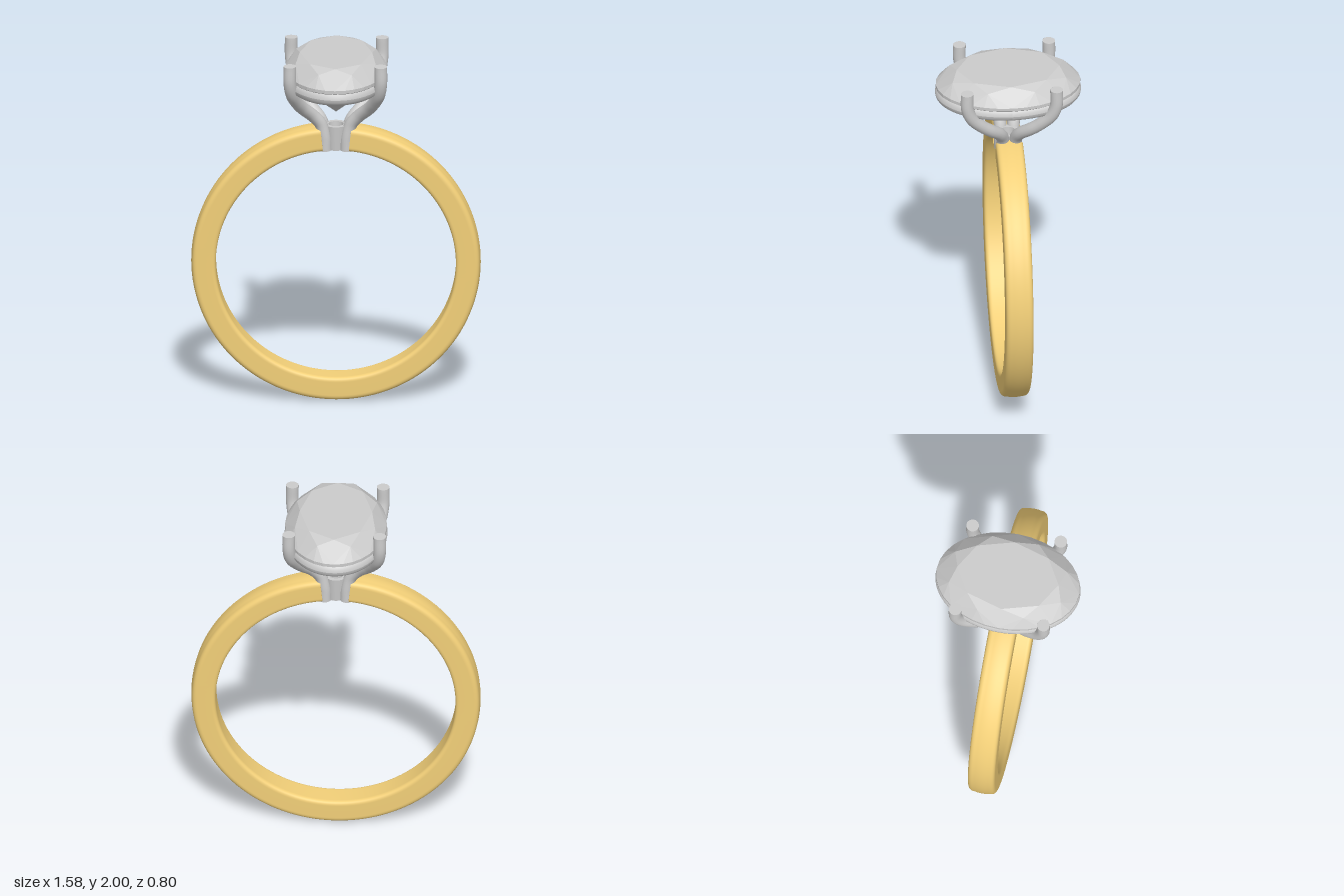
import * as THREE from 'three';
import { ConvexGeometry } from 'three/addons/geometries/ConvexGeometry.js';

const grey = new THREE.MeshStandardMaterial({ color: 0xcccccc, side: THREE.DoubleSide });
const gold = new THREE.MeshStandardMaterial({ color: 0xf2cf78, side: THREE.DoubleSide });
const stone = new THREE.MeshStandardMaterial({ color: 0xcccccc, flatShading: true });

function add(parent, name, geometry, material) {
  const mesh = new THREE.Mesh(geometry, material);
  mesh.name = name;
  parent.add(mesh);
  return mesh;
}

// Rounded band section in (radius, width), starting mid inner face, counterclockwise
function bandSection() {
  const inner = 0.655, outer = 0.79, w = 0.075, ri = 0.025, ro = 0.035;
  const s = new THREE.Shape();
  s.moveTo(inner, 0);
  s.lineTo(inner, -w + ri);
  s.quadraticCurveTo(inner, -w, inner + ri, -w);
  s.lineTo(outer - ro, -w);
  s.quadraticCurveTo(outer - 0.004, -w, outer - 0.004, -w + ro);
  s.quadraticCurveTo(outer + 0.004, 0, outer - 0.004, w - ro);
  s.quadraticCurveTo(outer - 0.004, w, outer - ro, w);
  s.lineTo(inner + ri, w);
  s.quadraticCurveTo(inner, w, inner, w - ri);
  s.lineTo(inner, 0);
  return s;
}

function buildBand() {
  const band = new THREE.Group();
  band.name = 'band';
  band.position.y = 0.795;
  const section = bandSection();
  const gap = 0.107; // half angle of the opening at the top
  const sweep = new THREE.LatheGeometry(section.getPoints(8), 128, -Math.PI + gap, 2 * (Math.PI - gap));
  add(band, 'bandHoop', sweep.rotateX(Math.PI / 2), gold);
  for (const side of [-1, 1]) {
    const phi = side * (Math.PI - gap);
    const cap = new THREE.ShapeGeometry(section, 8);
    add(band, 'bandEnd', cap.rotateY(phi - Math.PI / 2).rotateX(Math.PI / 2), gold);
  }
  return band;
}

// Oval faceted stone: table, star points, girdle and culet
function buildGem() {
  const points = [];
  const ring = (count, scale, y, offset = 0) => {
    for (let i = 0; i < count; i++) {
      const a = ((i + offset) / count) * Math.PI * 2;
      points.push(new THREE.Vector3(0.278 * scale * Math.cos(a), y, 0.396 * scale * Math.sin(a)));
    }
  };
  ring(8, 0.71, 1.997);
  ring(8, 0.85, 1.973, 0.5);
  ring(32, 1, 1.91);
  ring(32, 1, 1.892);
  ring(16, 0.6, 1.805);
  points.push(new THREE.Vector3(0, 1.655, 0));
  return new ConvexGeometry(points);
}

// Oval support ring with an even round section
function buildGallery() {
  const g = new THREE.TorusGeometry(1, 0.5, 16, 96);
  const p = g.attributes.position, r = 0.039;
  for (let i = 0; i <= 16; i++) {
    for (let j = 0; j <= 96; j++) {
      const t = (i / 16) * Math.PI * 2, a = (j / 96) * Math.PI * 2;
      const d = r * Math.cos(t);
      p.setXYZ(i * 97 + j, (0.281 - r + d) * Math.cos(a), (0.4 - r + d) * Math.sin(a), r * Math.sin(t));
    }
  }
  g.rotateX(-Math.PI / 2);
  g.computeVertexNormals();
  return g;
}

function buildProng(sx, sz) {
  const prong = new THREE.Group();
  prong.name = 'prong';
  const r = 0.035;
  const path = [
    [0.058, 1.445, 0.036], [0.062, 1.52, 0.036], [0.085, 1.6, 0.038], [0.13, 1.655, 0.06],
    [0.18, 1.71, 0.11], [0.213, 1.765, 0.165], [0.238, 1.83, 0.218], [0.248, 1.9, 0.243], [0.248, 2, 0.245],
  ].map(([x, y, z]) => new THREE.Vector3(x * sx, y, z * sz));
  const curve = new THREE.CatmullRomCurve3(path);
  add(prong, 'prongWire', new THREE.TubeGeometry(curve, 48, r, 16), grey);
  for (const t of [0, 1]) {
    const cap = add(prong, 'prongTip', new THREE.CircleGeometry(r, 16), grey);
    const dir = curve.getTangent(t).multiplyScalar(t ? 1 : -1);
    cap.position.copy(curve.getPoint(t));
    cap.quaternion.setFromUnitVectors(new THREE.Vector3(0, 0, 1), dir);
  }
  return prong;
}

export function createModel() {
  const ring = new THREE.Group();
  ring.name = 'ring';
  ring.add(buildBand());

  // Hollow collet between the band ends
  const collet = [[0.032, 1.445], [0.052, 1.445], [0.064, 1.585], [0.042, 1.585], [0.032, 1.445]];
  for (let i = 0; i < 4; i++) {
    const pair = [collet[i], collet[i + 1]].map(([x, y]) => new THREE.Vector2(x, y));
    add(ring, 'collet', new THREE.LatheGeometry(pair, 32), grey);
  }

  for (const sx of [-1, 1]) for (const sz of [-1, 1]) ring.add(buildProng(sx, sz));

  add(ring, 'galleryRing', buildGallery(), grey).position.y = 1.856;
  add(ring, 'gem', buildGem(), stone);
  return ring;
}
